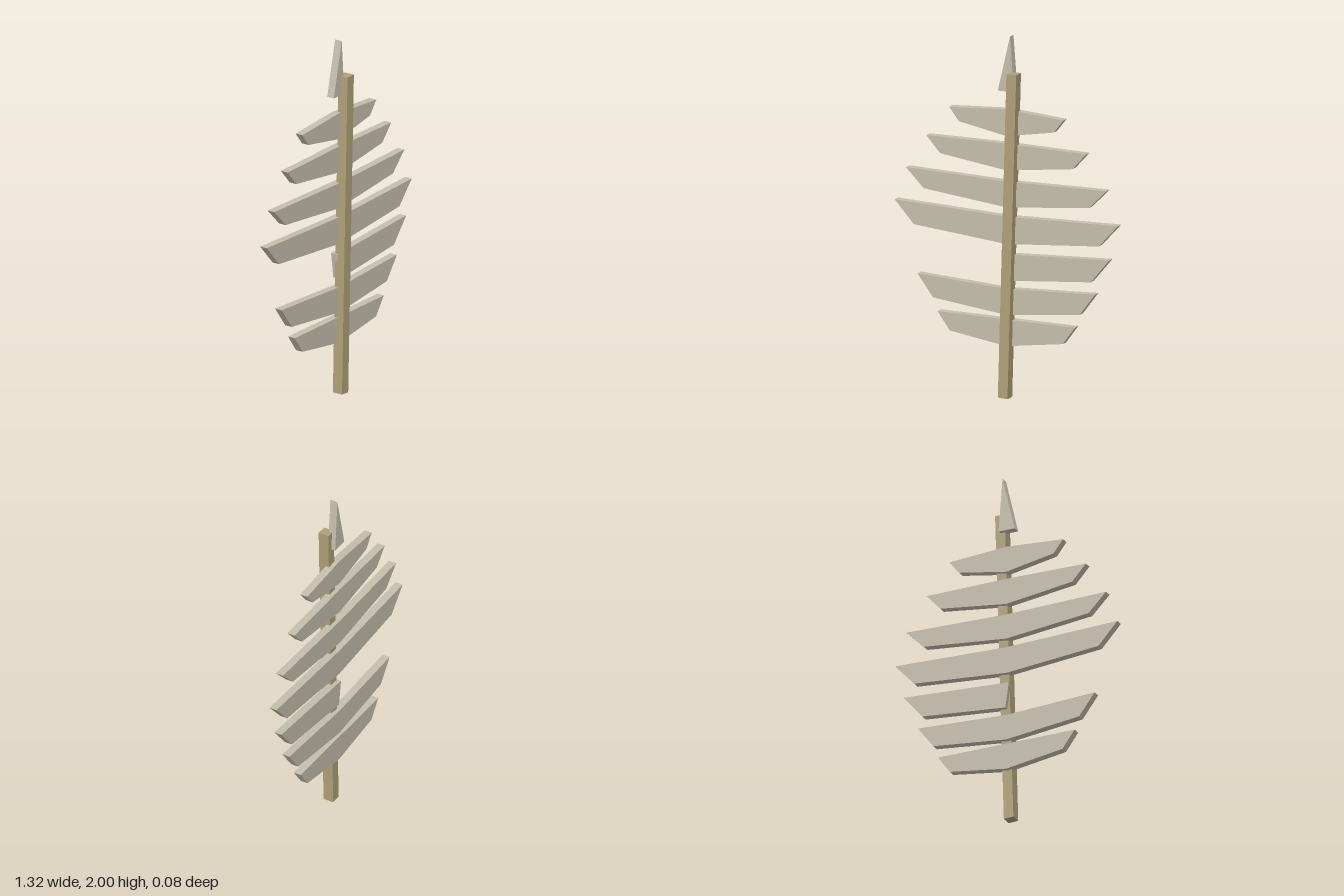
import * as THREE from 'three';

export function createModel() {
  const group = new THREE.Group();
  const slatMat = new THREE.MeshStandardMaterial({ name: 'pale wood', color: 0xc4bdac, flatShading: true });
  const stemMat = new THREE.MeshStandardMaterial({ name: 'tan wood', color: 0xaea077, flatShading: true });

  // Flat board cut from an outline, running from z0 to z1
  function board(name, points, z0, z1, material) {
    const shape = new THREE.Shape(points.map(([x, y]) => new THREE.Vector2(x, y)));
    const geo = new THREE.ExtrudeGeometry(shape, { depth: z1 - z0, bevelEnabled: false });
    geo.translate(0, 0, z0);
    const mesh = new THREE.Mesh(geo, material);
    mesh.name = name;
    group.add(mesh);
  }

  // Slightly leaning stem
  board('stem', [[-0.031, 0.003], [0.026, 0], [0.078, 1.8], [0.02, 1.8]], -0.018, 0.042, stemMat);

  // Slats: middle bottom, middle top, outer top x/y, outer bottom x/y
  const slats = [
    [0.282, 0.43, 0.407, 0.43, 0.335, 0.331],
    [0.455, 0.6, 0.526, 0.626, 0.434, 0.503],
    [0.645, 0.79, 0.61, 0.825, 0.5, 0.692],
    [0.848, 1.0, 0.662, 1.021, 0.548, 0.896],
    [1.051, 1.194, 0.594, 1.207, 0.49, 1.102],
    [1.256, 1.404, 0.474, 1.398, 0.392, 1.307],
    [1.446, 1.594, 0.338, 1.57, 0.281, 1.497],
  ];
  const back = -0.042, front = 0.002;
  slats.forEach(([y0, y1, xt, yt, xb, yb], i) => {
    const half = [[xb, yb], [xt, yt]];
    if (i === 2) {
      // The third slat has only its left half
      board('halfSlat', [[0.005, y0], ...half, [-0.015, y1]], back, front, slatMat);
    } else {
      board('slat' + (i + 1), [[0, y0], ...half, [0, y1], [-xt, yt], [-xb, yb]], back, front, slatMat);
    }
  });

  // Pointed tip
  board('tip', [[-0.05, 1.693], [0.046, 1.693], [0.022, 2]], back, front, slatMat);

  return group;
}
